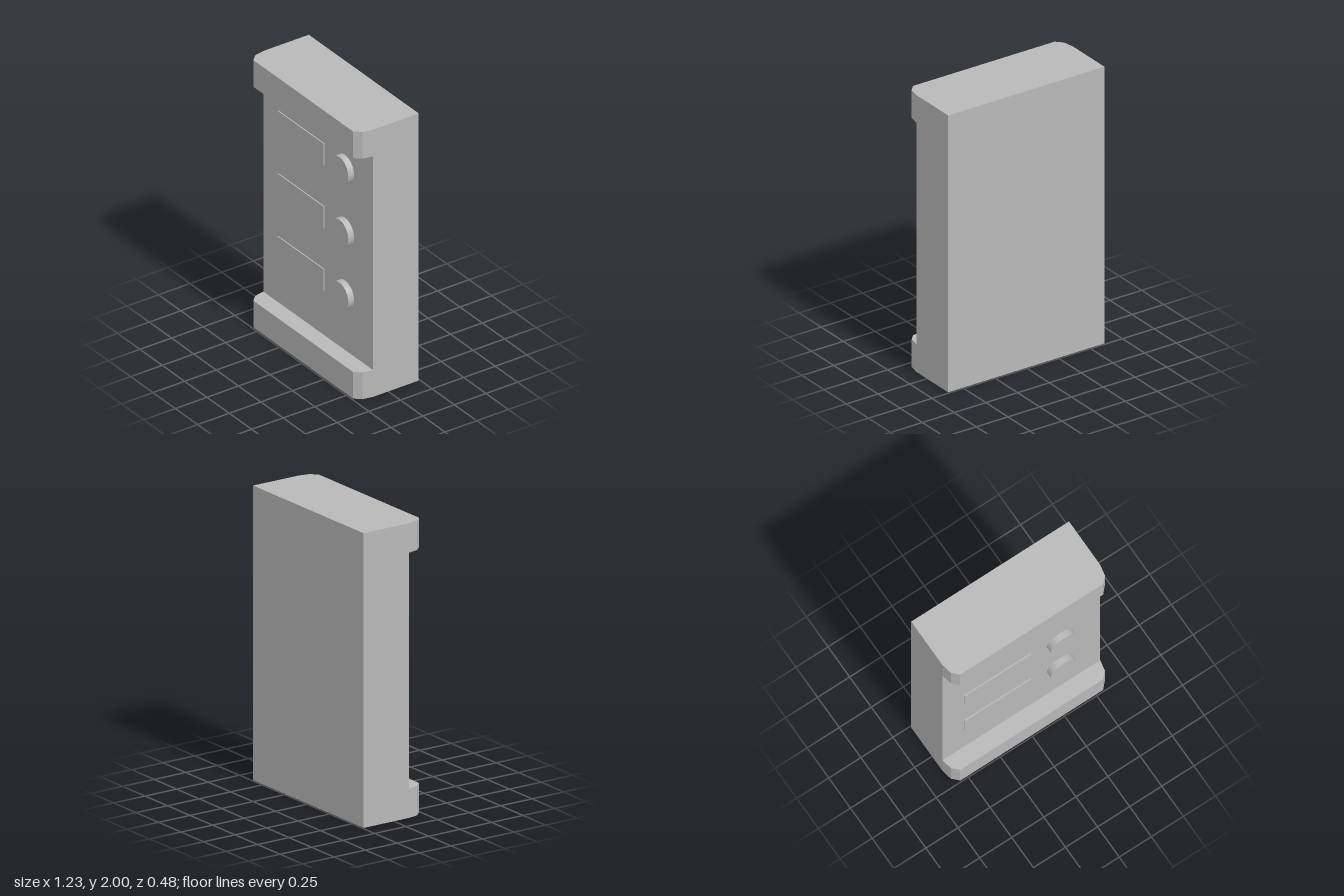
import * as THREE from 'three';

export function createModel() {
  const model = new THREE.Group();
  const grey = new THREE.MeshStandardMaterial({ color: 0xb8b8b8 });
  grey.name = 'grey';

  const add = (name, geometry, x, y, z) => {
    const mesh = new THREE.Mesh(geometry, grey);
    mesh.name = name;
    mesh.position.set(x, y, z);
    model.add(mesh);
    return mesh;
  };

  // Housing between the two end caps
  add('housing', new THREE.BoxGeometry(1.23, 1.6, 0.36), 0, 1, -0.06);

  // End caps: plan outline with bevelled front corners, extruded upwards
  const half = [[0.615, -0.24], [0.615, 0.12], [0.6, 0.195], [0.557, 0.24]];
  const outline = [...half, ...half.map(([x, z]) => [-x, z]).reverse()];
  const capShape = new THREE.Shape(outline.map(([x, z]) => new THREE.Vector2(x, -z)));
  const capGeometry = new THREE.ExtrudeGeometry(capShape, { depth: 0.2, bevelEnabled: false });
  capGeometry.rotateX(-Math.PI / 2);
  add('bottomCap', capGeometry, 0, 0, 0);
  add('topCap', capGeometry, 0, 1.8, 0);

  // Three rows, each with a name plate and a round push button
  const plateGeometry = new THREE.BoxGeometry(0.514, 0.165, 0.008);
  const buttonGeometry = new THREE.CylinderGeometry(0.1, 0.1, 0.045, 48);
  buttonGeometry.rotateX(Math.PI / 2);
  [1.56, 1.09, 0.62].forEach((y, i) => {
    add(`namePlate${i + 1}`, plateGeometry, -0.187, y - 0.006, 0.124);
    add(`button${i + 1}`, buttonGeometry, 0.3, y, 0.1425);
  });

  return model;
}
